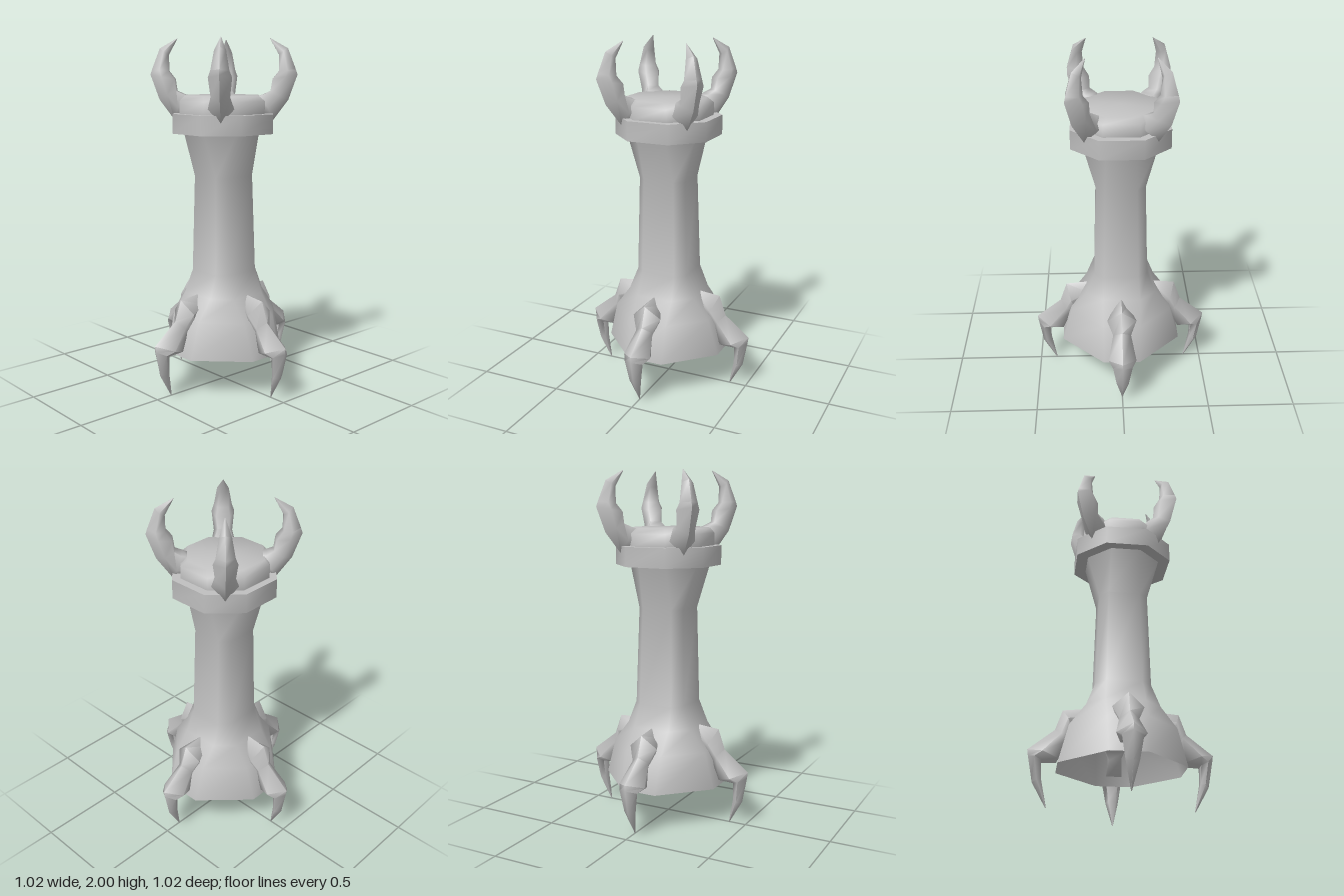
import * as THREE from 'three';
import { toCreasedNormals } from 'three/addons/utils/BufferGeometryUtils.js';

// Skin a list of equal-length closed rings of [x, y, z] points.
function loft(rings, crease) {
  const n = rings[0].length;
  const index = [];
  for (let i = 0; i < rings.length - 1; i++) {
    for (let j = 0; j < n; j++) {
      const k = (j + 1) % n;
      const a = i * n + j, b = i * n + k, c = (i + 1) * n + k, d = (i + 1) * n + j;
      index.push(a, b, c, a, c, d);
    }
  }
  const geo = new THREE.BufferGeometry();
  geo.setAttribute('position', new THREE.Float32BufferAttribute(rings.flat(2), 3));
  geo.setIndex(index);
  return toCreasedNormals(geo, crease);
}

// Eight-sided ring: half size a, half length h of the sides facing the axes, height y, x offset.
const octagon = ([a, h, y, dx = 0]) => [
  [a, h], [a, -h], [h, -a], [-h, -a], [-a, -h], [-a, h], [-h, a], [h, a],
].map(([x, z]) => [x + dx, y, z]);

// Claw from sections [outer r, outer y, inner r, inner y, half width], with an outer ridge.
function clawGeometry(sections, side) {
  const rings = sections.map(([ro, yo, ri, yi, w]) => {
    const at = (t, z) => [ro + (ri - ro) * t, yo + (yi - yo) * t, z * w * side];
    return [at(0, 0), at(0.5, 1), at(1, 0.6), at(1, -0.6), at(0.5, -1)];
  });
  return loft(rings, 1.5);
}

export function createModel() {
  const model = new THREE.Group();
  const stone = new THREE.MeshStandardMaterial({ color: 0xc0c0c0, side: THREE.DoubleSide });
  stone.name = 'grey stone';

  const add = (name, geometry, angle = 0) => {
    const mesh = new THREE.Mesh(geometry, stone);
    mesh.name = name;
    mesh.rotation.y = angle;
    model.add(mesh);
  };

  // Hollow flared base and waisted column
  add('column', loft([
    [0.35, 0.105, 0.22, 0.008], [0.295, 0.11, 0.43, 0.004], [0.205, 0.11, 0.55, 0.002],
    [0.155, 0.1, 0.68, 0.003], [0.14, 0.09, 1.23], [0.21, 0.085, 1.475, -0.01],
  ].map(octagon), 0.9));

  // Collar
  add('collar', loft([
    [0.21, 0.085, 1.475, -0.01], [0.275, 0.12, 1.475],
    [0.275, 0.12, 1.585], [0.23, 0.1, 1.585, -0.005],
  ].map(octagon), 0.9));

  // Closed cap, shaded softly over its rim
  add('cap', loft([
    [0.235, 0.1, 1.585, -0.005], [0.235, 0.1, 1.655, -0.005],
    [0.21, 0.08, 1.685, -0.012], [0.001, 0.0005, 1.685, -0.012],
  ].map(octagon), 1.5));

  // Four feet on the axes
  const foot = clawGeometry([
    [0.18, 0.56, 0.21, 0.45, 0.04],
    [0.325, 0.545, 0.27, 0.4, 0.085],
    [0.365, 0.43, 0.3, 0.36, 0.052],
    [0.51, 0.315, 0.35, 0.26, 0.08],
    [0.505, 0.28, 0.435, 0.25, 0.056],
    [0.478, 0.135, 0.43, 0.15, 0.036],
    [0.402, 0, 0.398, 0.003, 0.002],
  ], 1);

  // Four prongs on the diagonals
  const prong = clawGeometry([
    [0.19, 1.57, 0.19, 1.68, 0.055],
    [0.28, 1.545, 0.225, 1.69, 0.072],
    [0.365, 1.66, 0.265, 1.71, 0.052],
    [0.415, 1.8, 0.275, 1.775, 0.064],
    [0.405, 1.83, 0.31, 1.82, 0.05],
    [0.36, 1.945, 0.31, 1.91, 0.032],
    [0.262, 2, 0.26, 1.997, 0.002],
  ], -1);

  for (let i = 0; i < 4; i++) {
    add('footClaw', foot, i * Math.PI / 2);
    add('topProng', prong, (i + 0.5) * Math.PI / 2);
  }
  return model;
}
